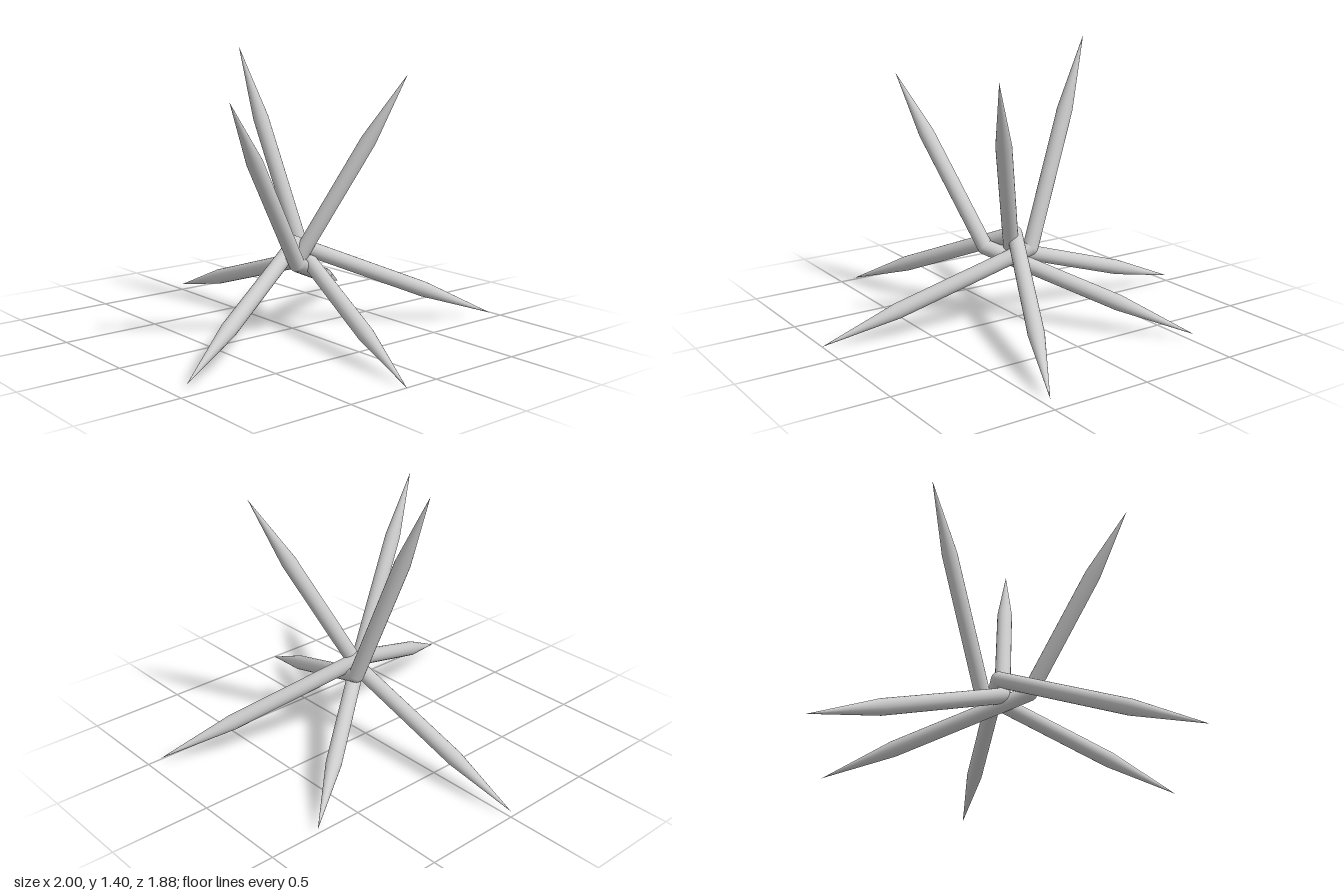
import * as THREE from 'three';

const RADIUS = 0.039;
const SHAFT = 0.65; // share of an arm before it tapers to its point

// Each bent bar: elbow position and its two pointed tips
const BARS = [
  { name: 'frontBackBar', elbow: [0.02, 0.44, 0], tips: [[0.45, 0.03, 0.94], [0.48, 0.02, -0.94]] },
  { name: 'rightBar', elbow: [0.04, 0.36, 0], tips: [[-1, 0.03, 0], [0.38, 1.28, -0.41]] },
  { name: 'leftBar', elbow: [-0.02, 0.38, -0.08], tips: [[1, 0, 0.18], [-0.41, 1.4, 0.02]] },
  { name: 'backRightBar', elbow: [0.14, 0.37, 0.085], tips: [[-0.51, 0.03, -0.75], [0.335, 1.2, 0.62]] },
];

// Straight shaft that tapers to a sharp point, running from one position to another
function spike(from, to, material) {
  const dir = to.clone().sub(from);
  const length = dir.length();
  const profile = [
    new THREE.Vector2(RADIUS, 0),
    new THREE.Vector2(RADIUS, length * SHAFT),
    new THREE.Vector2(0, length),
  ];
  const mesh = new THREE.Mesh(new THREE.LatheGeometry(profile, 20), material);
  mesh.position.copy(from);
  mesh.quaternion.setFromUnitVectors(new THREE.Vector3(0, 1, 0), dir.normalize());
  return mesh;
}

export function createModel() {
  const group = new THREE.Group();
  group.name = 'spikedBarrier';
  const material = new THREE.MeshStandardMaterial({ color: 0xcccccc });

  for (const { name, elbow, tips } of BARS) {
    const bar = new THREE.Group();
    bar.name = name;
    const bend = new THREE.Vector3(...elbow);

    // Rounded bend joining the two arms
    const joint = new THREE.Mesh(new THREE.SphereGeometry(RADIUS, 20, 14), material);
    joint.name = 'elbow';
    joint.position.copy(bend);
    bar.add(joint);

    // Two pointed arms
    tips.forEach((tip, i) => {
      const arm = spike(bend, new THREE.Vector3(...tip), material);
      arm.name = i === 0 ? 'firstSpike' : 'secondSpike';
      bar.add(arm);
    });
    group.add(bar);
  }
  return group;
}
